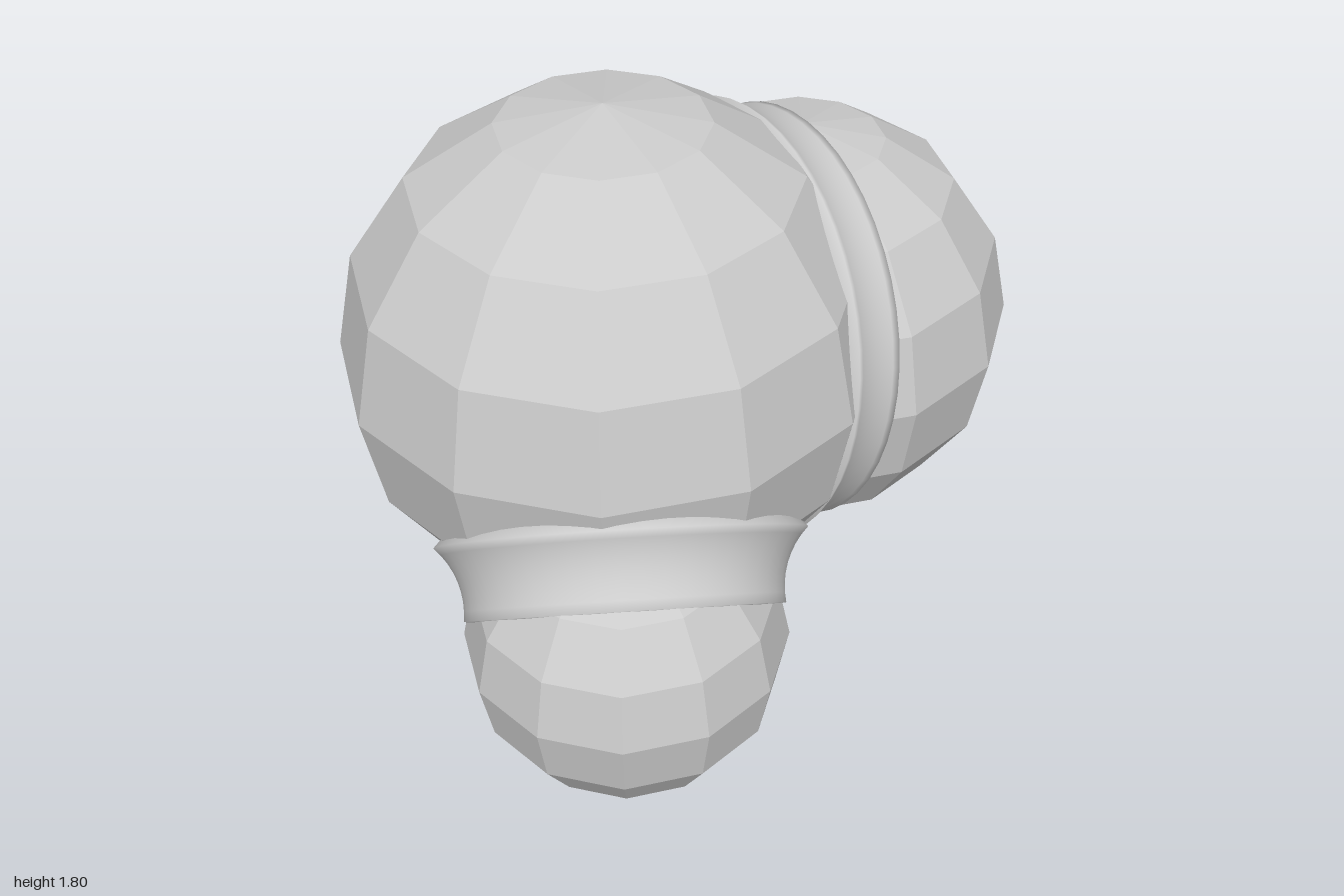
import * as THREE from 'three';

const PROBE = 0.24; // radius of the concave fillet between lobes

const lobes = {
  largeLobe: { c: new THREE.Vector3(-0.24, 1.04, -0.1), r: 0.76 },
  sideLobe: { c: new THREE.Vector3(0.383, 0.945, -0.1), r: 0.617 },
  smallLobe: { c: new THREE.Vector3(-0.48, 0.45, 0.41), r: 0.45 },
};

// Concave ring that is tangent to two overlapping spheres
function neckGeometry(a, b) {
  const axis = b.c.clone().sub(a.c);
  const d = axis.length();
  const ra = a.r + PROBE, rb = b.r + PROBE;
  const t = (d * d + ra * ra - rb * rb) / (2 * d);
  const R = Math.sqrt(ra * ra - t * t);
  const start = Math.atan2(-t, -R) + Math.PI * 2;
  const end = Math.atan2(d - t, -R);
  const points = [];
  const steps = 8;
  for (let i = 0; i <= steps; i++) {
    const ang = start + (end - start) * i / steps;
    points.push(new THREE.Vector2(R + PROBE * Math.cos(ang), t + PROBE * Math.sin(ang)));
  }
  // Tuck both rims under the faceted lobes
  const first = points[0].clone().multiplyScalar(0.95);
  const last = points[steps].clone();
  last.set(last.x * 0.95, d + (last.y - d) * 0.95);
  const geometry = new THREE.LatheGeometry([first, ...points, last], 48);
  geometry.applyQuaternion(new THREE.Quaternion().setFromUnitVectors(
    new THREE.Vector3(0, 1, 0), axis.normalize()));
  return geometry.translate(a.c.x, a.c.y, a.c.z);
}

export function createModel() {
  const group = new THREE.Group();
  group.name = 'joinedLobes';
  const faceted = new THREE.MeshStandardMaterial({ color: 0xcccccc, flatShading: true });
  const smooth = new THREE.MeshStandardMaterial({ color: 0xcccccc, side: THREE.DoubleSide });

  // Three faceted round lobes
  for (const [name, { c, r }] of Object.entries(lobes)) {
    const lobe = new THREE.Mesh(new THREE.SphereGeometry(r, 12, 8), faceted);
    lobe.name = name;
    lobe.position.copy(c);
    group.add(lobe);
  }

  // Smooth necks from the large lobe to the other two
  for (const name of ['sideLobe', 'smallLobe']) {
    const neck = new THREE.Mesh(neckGeometry(lobes.largeLobe, lobes[name]), smooth);
    neck.name = name + 'Neck';
    group.add(neck);
  }
  return group;
}
